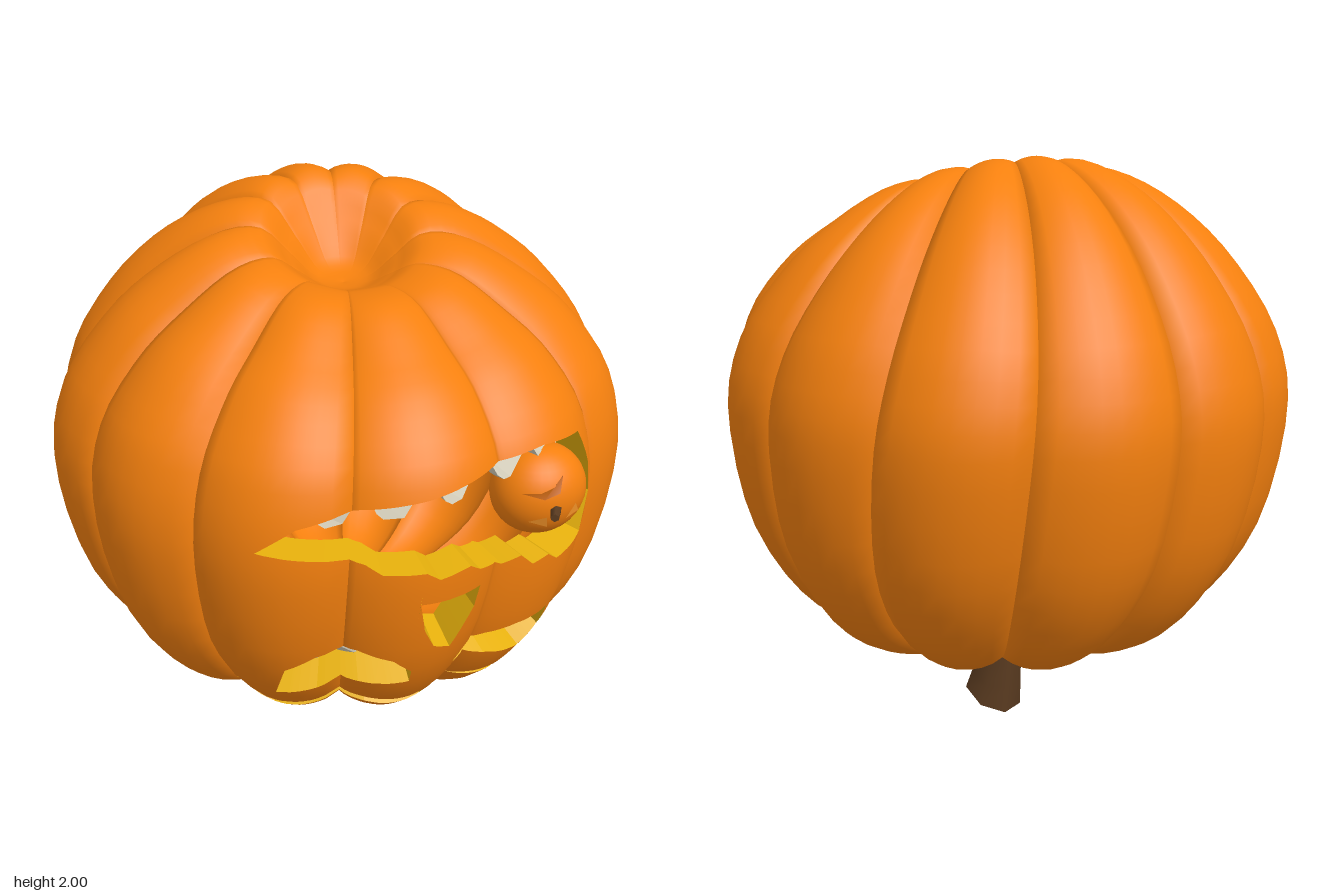
import * as THREE from 'three';

const ORANGE = 0xf5800e, YELLOW = 0xe6b00c, CREAM = 0xd6d0bc, BROWN = 0x5a3b20;
const RIBS = 12, CUSP = 0.08, ROWS = 48, INNER = 0.875, MID = 1.2;
const V = (x, y) => new THREE.Vector2(x, y);
const pts = (a) => a.map((p) => V(p[0], p[1]));
const mat = (color, side = THREE.FrontSide) => new THREE.MeshStandardMaterial({ color, side });

// half outline of the body (radius, height, forward lean), bottom dimple to top dimple
const profile = new THREE.CatmullRomCurve3([
  [0, 0.37, 0], [0.12, 0.335, 0], [0.3, 0.305, 0], [0.52, 0.35, 0], [0.73, 0.49, 0], [0.9, 0.77, 0], [0.97, 1.15, 0],
  [0.92, 1.42, 0], [0.77, 1.64, 0.04], [0.6, 1.785, 0.08], [0.42, 1.88, 0.09], [0.27, 1.89, 0.095],
  [0.17, 1.81, 0.05], [0.09, 1.74, 0.01], [0, 1.72, 0]].map((p) => new THREE.Vector3(...p)), false, 'catmullrom', 0.5);

// point on the ribbed, lopsided body: angle u, height parameter t, shell scale s
function surface(u, t, s = 1) {
  const p = profile.getPoint(t), off = 1 - p.x / 0.97;
  // ribs slant on the left and back
  const a = u + 0.075 * (p.y - MID) * (1 + Math.sin(u - 0.4));
  const x = p.x * Math.sin(a) + 0.03 * off;
  const z = 1.02 * p.x * Math.cos(a) + (p.y > MID ? 0.09 : -0.05) * off;
  const y = p.y - p.z * (Math.cos(a) + 0.35 * Math.sin(a));
  const bump = Math.pow(Math.abs(Math.sin((u - CUSP) * RIBS / 2)), 0.8);
  const k = s * (1 - 0.058 * (1 - bump) * THREE.MathUtils.smoothstep(p.x, 0.05, 0.65));
  return new THREE.Vector3(x * k, MID + (y - MID) * k, z * k);
}

function bisect(f, lo, hi) {
  for (let i = 0; i < 22; i++) {
    const m = (lo + hi) / 2;
    if (f(m) < 0) lo = m; else hi = m;
  }
  return (lo + hi) / 2;
}

// (u, t) of the surface point that lies at x, y on the front
function locate([x, y], s = 1) {
  let u = 0.3, t = 0.4;
  for (let i = 0; i < 10; i++) {
    t = bisect((v) => surface(u, v, s).y - y, 0.15, 0.72);
    u = bisect((v) => surface(v, t, s).x - x, -0.9, 1.4);
  }
  return V(u, t);
}

function buildGeometry(pos, norm) {
  const g = new THREE.BufferGeometry();
  g.setAttribute('position', new THREE.Float32BufferAttribute(pos.flatMap((p) => p.toArray()), 3));
  if (norm) g.setAttribute('normal', new THREE.Float32BufferAttribute(norm.flatMap((p) => p.toArray()), 3));
  else g.computeVertexNormals();
  return g;
}

function add(parent, name, geo, material) {
  const m = new THREE.Mesh(geo, material);
  m.name = name;
  parent.add(m);
  return m;
}

// carved openings, drawn on the front
const openings = {
  mouth: [[-0.2, 1.24], [-0.08, 1.32], [0.1, 1.36], [0.3, 1.39], [0.5, 1.42], [0.64, 1.44], [0.76, 1.42], [0.805, 1.3],
    [0.82, 1.18], [0.795, 1.06], [0.71, 1.045], [0.68, 1.08], [0.63, 1.065], [0.59, 1.11], [0.53, 1.09], [0.46, 1.12],
    [0.43, 1.15], [0.34, 1.135], [0.3, 1.165], [0.17, 1.165], [0.12, 1.195], [0, 1.215]],
  nose: [[0.285, 1.05], [0.465, 1.05], [0.45, 0.97], [0.38, 0.83], [0.33, 0.86], [0.3, 0.94]],
  rightEye: [[-0.16, 0.62], [-0.125, 0.77], [-0.03, 0.83], [0.1, 0.85], [0.21, 0.81], [0.265, 0.75], [0.26, 0.69],
    [0.1, 0.68], [-0.03, 0.645]],
  leftEye: [[0.4, 0.7], [0.43, 0.76], [0.5, 0.8], [0.6, 0.815], [0.7, 0.82], [0.685, 0.7], [0.62, 0.65], [0.5, 0.69]],
  rightBrow: [[-0.295, 0.62], [-0.28, 0.53], [-0.18, 0.47], [-0.05, 0.485], [0.12, 0.51], [0.3, 0.5], [0.33, 0.56],
    [0.12, 0.56], [-0.05, 0.53], [-0.2, 0.53]],
  leftBrow: [[0.38, 0.56], [0.5, 0.52], [0.64, 0.5], [0.72, 0.57], [0.76, 0.67], [0.65, 0.57], [0.52, 0.55]],
};

// shell made of vertical strips interrupted by the openings, plus the cut walls
function carvedBody(group) {
  const edges = [], cuts = [];
  for (const poly of Object.values(openings)) {
    const q = poly.map((p) => locate(p));
    q.forEach((a, i) => {
      const b = q[(i + 1) % q.length];
      edges.push(a.x < b.x ? [a, b] : [b, a]);
      cuts.push(a.x);
    });
  }
  for (let i = 0; i <= RIBS * 8; i++) cuts.push(CUSP - Math.PI + (i / (RIBS * 8)) * Math.PI * 2);
  cuts.sort((a, b) => a - b);

  const outer = [], outerN = [], inner = [], innerN = [], wall = [];
  const normal = (u, t, mid) => {
    const d = Math.sign(mid - u) * 1e-3, v = THREE.MathUtils.clamp(t, 0.004, 0.995), o = surface(u, v);
    const du = surface(u + d, v).sub(o).multiplyScalar(Math.sign(d));
    return du.cross(surface(u, v + 1e-4).sub(o)).normalize();
  };
  const tri = (corners, mid) => {
    for (const [u, t] of corners) {
      outer.push(surface(u, t));
      outerN.push(normal(u, t, mid));
    }
    for (const [u, t] of [...corners].reverse()) {
      inner.push(surface(u, t, INNER));
      innerN.push(normal(u, t, mid).negate());
    }
  };
  for (let i = 0; i + 1 < cuts.length; i++) {
    const u0 = cuts[i], u1 = cuts[i + 1], mid = (u0 + u1) / 2;
    if (u1 - u0 < 1e-6) continue;
    const at = ([a, b], u) => a.y + ((b.y - a.y) * (u - a.x)) / (b.x - a.x);
    const hit = edges.filter(([a, b]) => a.x < mid && b.x > mid)
      .sort((p, q) => at(p, mid) - at(q, mid)).map((e) => [at(e, u0), at(e, u1)]);
    for (const [a, b] of hit) {
      const A = surface(u0, a), B = surface(u1, b), C = surface(u1, b, INNER), D = surface(u0, a, INNER);
      wall.push(A, B, C, A, C, D);
    }
    const ends = [[0, 0], ...hit, [1, 1]];
    for (let j = 0; j < ends.length; j += 2) {
      const lo = ends[j], hi = ends[j + 1];
      const row = (k, side) => THREE.MathUtils.clamp(k / ROWS, lo[side], hi[side]);
      for (let k = 0; k < ROWS; k++) {
        const a0 = row(k, 0), a1 = row(k, 1), b0 = row(k + 1, 0), b1 = row(k + 1, 1);
        if (b1 > a1) tri([[u0, a0], [u1, a1], [u1, b1]], mid);
        if (b0 > a0) tri([[u0, a0], [u1, b1], [u0, b0]], mid);
      }
    }
  }
  add(group, 'pumpkinSkin', buildGeometry(outer, outerN), mat(ORANGE));
  add(group, 'pumpkinInside', buildGeometry(inner, innerN), mat(ORANGE));
  add(group, 'carvedEdges', buildGeometry(wall), mat(YELLOW, THREE.DoubleSide));
}

// solid piece that follows the shell between two scales
function inlay(group, name, poly, s0, s1, color) {
  const q = poly.map((p) => locate(p, s1)), out = [];
  for (const s of [s1, s0])
    for (const f of THREE.ShapeUtils.triangulateShape(q, []))
      out.push(...(s === s1 ? f : [...f].reverse()).map((i) => surface(q[i].x, q[i].y, s)));
  q.forEach((a, i) => {
    const b = q[(i + 1) % q.length];
    const A = surface(a.x, a.y, s1), B = surface(b.x, b.y, s1), C = surface(b.x, b.y, s0), D = surface(a.x, a.y, s0);
    out.push(A, C, B, A, D, C);
  });
  add(group, name, buildGeometry(out), mat(color, THREE.DoubleSide));
}

// small pumpkin held in the mouth
function smallPumpkin() {
  const g = new THREE.Group(), R = 0.155;
  g.name = 'smallPumpkin';
  add(g, 'smallBody', new THREE.SphereGeometry(R, 32, 20), mat(ORANGE));
  const mark = (name, list, color) => {
    const geo = new THREE.ShapeGeometry(new THREE.Shape(pts(list)));
    const p = geo.attributes.position;
    for (let i = 0; i < p.count; i++) p.setZ(i, Math.sqrt(R * R - p.getX(i) ** 2 - p.getY(i) ** 2) + 0.008);
    geo.computeVertexNormals();
    add(g, name, geo, mat(color, THREE.DoubleSide));
  };
  mark('smallEye', [[-0.09, -0.05], [-0.03, -0.075], [-0.04, -0.03]], 0xff9a2a);
  mark('smallEye', [[0.03, -0.05], [0.08, -0.04], [0.06, 0.0]], 0xff9a2a);
  mark('smallMouth', [[-0.11, 0.05], [-0.05, 0.035], [0.0, 0.05], [0.02, 0.1], [-0.02, 0.07], [-0.06, 0.055]], 0xc2620a);
  const stem = add(g, 'smallStem', new THREE.CylinderGeometry(0.014, 0.02, 0.06, 6), mat(BROWN));
  stem.rotation.set(Math.PI / 2, 0, 0.5);
  stem.position.set(-0.02, -0.012, R + 0.015);
  g.scale.set(1, 0.95, 0.86);
  g.rotation.y = 0.42;
  g.position.set(0.65, 1.23, 0.54);
  return g;
}

// bent stem with a slanted cut end
function stemGeometry() {
  const g = new THREE.CylinderGeometry(1, 1, 1, 7, 5), p = g.attributes.position;
  for (let i = 0; i < p.count; i++) {
    const k = 0.5 - p.getY(i), r = 0.066 + 0.036 * k * k;
    const x = p.getX(i) * r, z = p.getZ(i) * r;
    p.setXYZ(i, x + 0.012 + 0.04 * k * k, 0.4 - 0.359 * k + k * k * 0.33 * (x + z), z - 0.07 + 0.025 * k * k);
  }
  g.computeVertexNormals();
  return g;
}

export function createModel() {
  const group = new THREE.Group();
  group.name = 'carvedPumpkin';
  carvedBody(group);

  // teeth hanging from the upper edge of the mouth
  for (const [x0, x1, y] of [[-0.05, 0.1, 1.36], [0.12, 0.28, 1.385], [0.32, 0.45, 1.405], [0.48, 0.6, 1.415], [0.62, 0.74, 1.415]])
    inlay(group, 'tooth', [[x0, y - 0.02], [x0 + 0.03, y - 0.07], [x0 + 0.05, y - 0.085], [x1 - 0.05, y - 0.08], [x1, y]],
      0.88, 0.92, CREAM);

  // pale arched irises around pointed pupils
  inlay(group, 'rightIris', [[-0.06, 0.68], [-0.04, 0.755], [0.01, 0.79], [0.07, 0.765], [0.11, 0.71], [0.06, 0.7],
    [0.02, 0.745], [-0.02, 0.68]], 0.88, 0.9, CREAM);
  inlay(group, 'rightPupil', [[-0.02, 0.68], [0.02, 0.745], [0.06, 0.7]], 0.88, 0.895, ORANGE);
  inlay(group, 'leftIris', [[0.49, 0.71], [0.51, 0.775], [0.55, 0.795], [0.58, 0.775], [0.585, 0.7], [0.565, 0.7],
    [0.545, 0.75], [0.52, 0.71]], 0.88, 0.9, CREAM);
  inlay(group, 'leftPupil', [[0.52, 0.71], [0.545, 0.75], [0.565, 0.7]], 0.88, 0.895, ORANGE);

  group.add(smallPumpkin());
  add(group, 'stem', stemGeometry(), mat(BROWN));
  return group;
}
